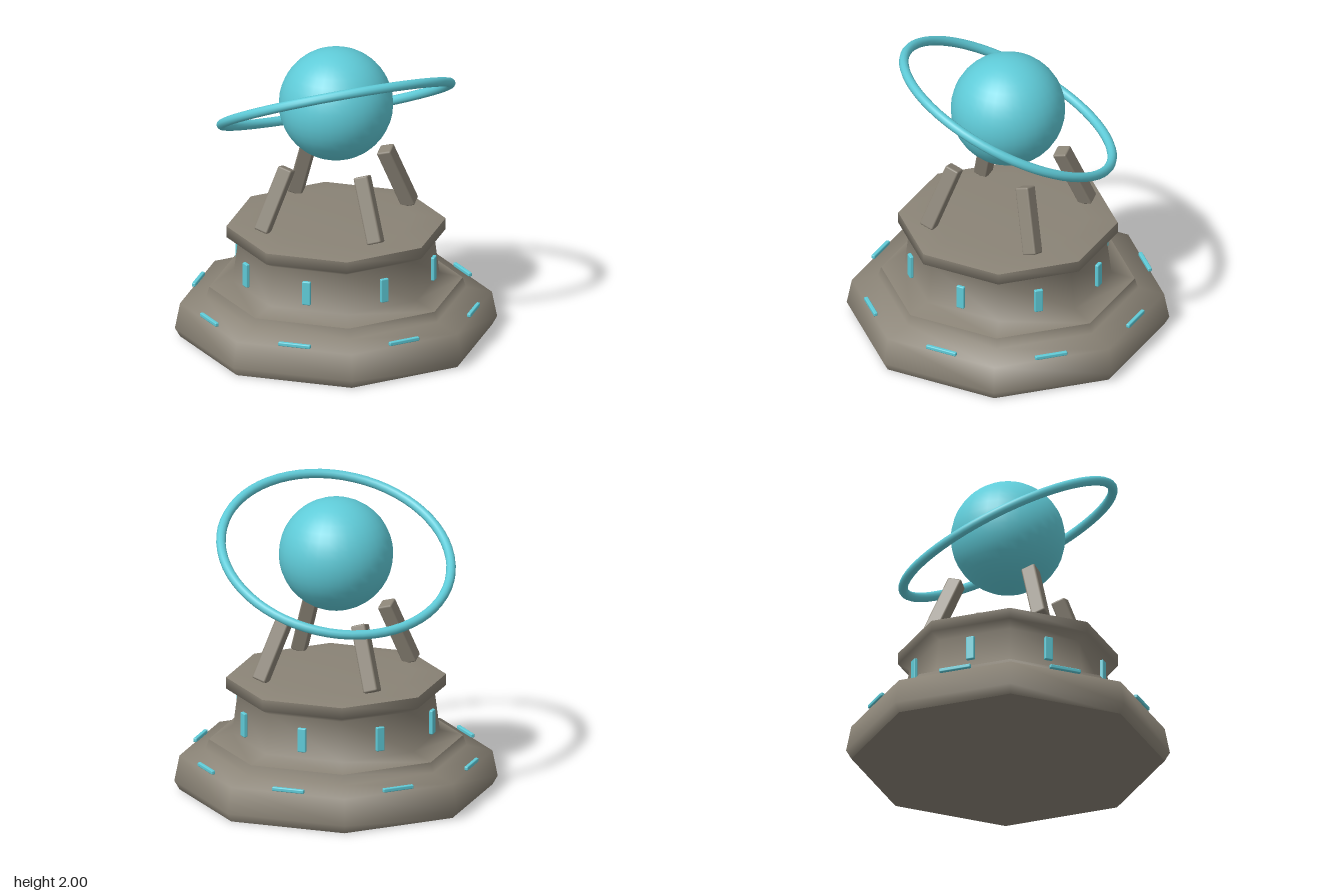
import * as THREE from 'three';
import { RoundedBoxGeometry } from 'three/addons/geometries/RoundedBoxGeometry.js';

const stone = new THREE.MeshStandardMaterial({ color: 0x8a8376 });
stone.name = 'warm grey stone';
const teal = new THREE.MeshStandardMaterial({ color: 0x5fcbd8 });
teal.name = 'glowing teal';

function add(parent, name, geometry, material) {
  const mesh = new THREE.Mesh(geometry, material);
  mesh.name = name;
  parent.add(mesh);
  return mesh;
}

// Eight-sided tier; profile radii are measured to the flats, bottom to top
function addTier(parent, name, profile) {
  const points = profile.map(([r, y]) => new THREE.Vector2(r / Math.cos(Math.PI / 8), y));
  return add(parent, name, new THREE.LatheGeometry(points, 8, Math.PI / 8), stone);
}

// Eight copies of a rounded block, one in front of each flat
function addLights(parent, name, size, radius, y) {
  const geometry = new RoundedBoxGeometry(...size, 2, 0.007);
  for (let i = 0; i < 8; i++) {
    const a = (i * Math.PI) / 4;
    const light = add(parent, name, geometry, teal);
    light.position.set(Math.sin(a) * radius, y, Math.cos(a) * radius);
    light.rotation.y = a;
  }
}

export function createModel() {
  const model = new THREE.Group();
  model.name = 'planetMonument';

  // Stepped octagonal pedestal, split where the edges are sharp
  const pedestal = new THREE.Group();
  pedestal.name = 'pedestal';
  model.add(pedestal);
  addTier(pedestal, 'underside', [[0, 0], [0.96, 0]]);
  addTier(pedestal, 'base', [[0.96, 0], [0.992, 0.06], [0.96, 0.235], [0.8, 0.277], [0.78, 0.345]]);
  addTier(pedestal, 'drum', [[0.78, 0.345], [0.637, 0.385], [0.605, 0.655], [0.675, 0.695], [0.675, 0.772]]);
  addTier(pedestal, 'topDeck', [[0.675, 0.772], [0.49, 0.808], [0, 0.808]]);

  // Light bars around the base and upright lights around the drum
  addLights(model, 'baseLight', [0.222, 0.027, 0.027], 0.953, 0.256);
  addLights(model, 'drumLight', [0.058, 0.165, 0.027], 0.677, 0.523);

  // Four struts leaning in towards the globe
  const strutGeometry = new RoundedBoxGeometry(0.1, 0.455, 0.1, 2, 0.012);
  for (const sx of [-1, 1]) {
    for (const sz of [-1, 1]) {
      const strut = add(model, 'strut', strutGeometry, stone);
      strut.position.set(sx * 0.327, 1.02, sz * 0.327);
      strut.rotation.set(-sz * 0.3, 0, sx * 0.3);
    }
  }

  // Floating globe
  add(model, 'globe', new THREE.SphereGeometry(0.38, 32, 20), teal).position.y = 1.62;

  // Tilted ring, high towards the front left
  const ring = add(model, 'ring', new THREE.TorusGeometry(0.773, 0.032, 12, 64), teal);
  ring.position.y = 1.615;
  ring.quaternion.setFromUnitVectors(
    new THREE.Vector3(0, 0, 1),
    new THREE.Vector3(-0.293, 0.889, -0.353).normalize()
  );

  return model;
}
